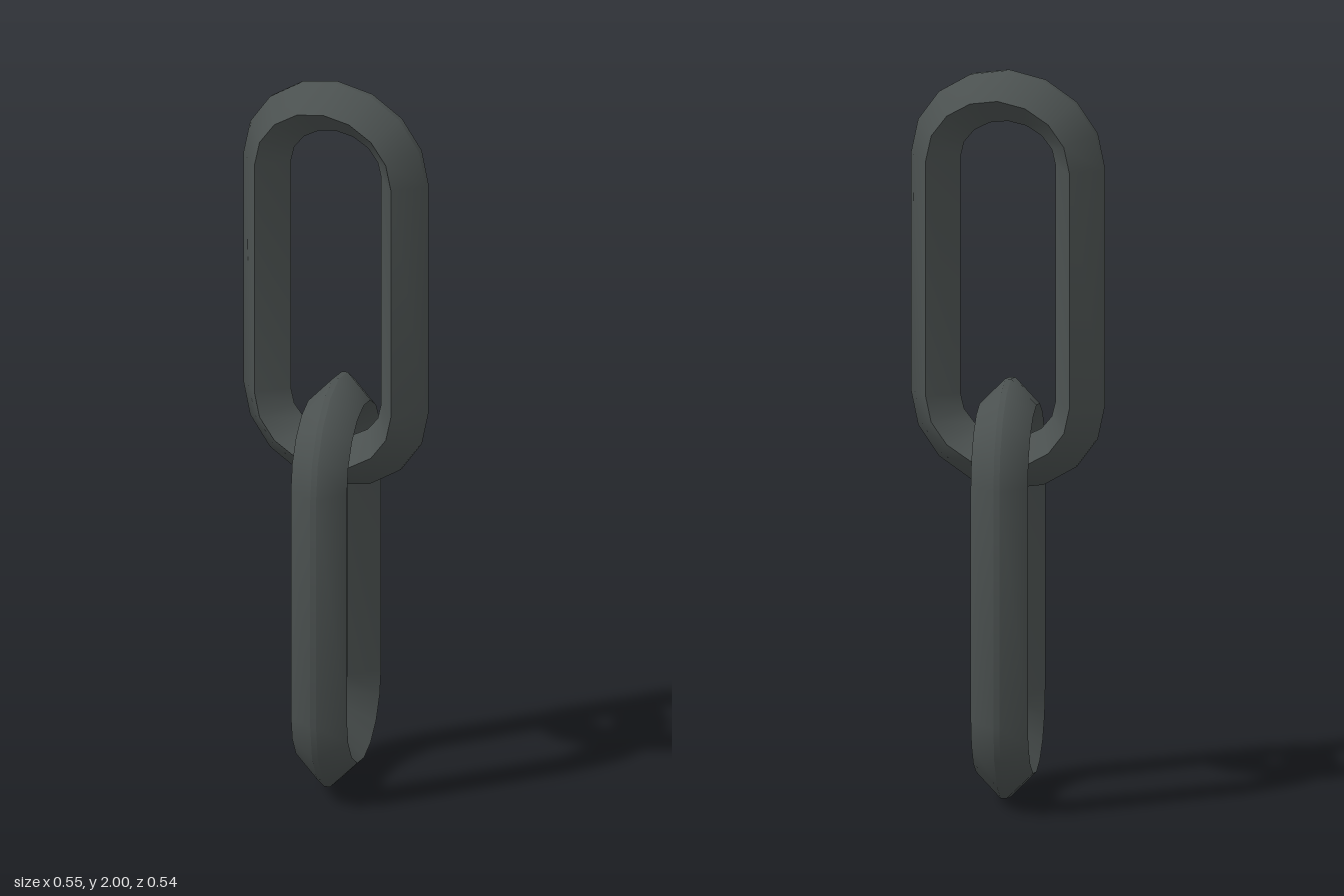
import * as THREE from 'three';
import { toCreasedNormals } from 'three/addons/utils/BufferGeometryUtils.js';

const STEPS = 8;        // segments per half-turn end
const STRAIGHT = 0.325; // half length of the straight sides

// Diamond cross-section with a small bevel on the outer ridge: [outward, sideways]
const SECTION = [[0.07, -0.008], [0.07, 0.008], [0, 0.077], [-0.07, 0], [0, -0.077]];

// Sweeps the section around a closed, long oval in the xy plane
function linkGeometry() {
  const pos = [], index = [];
  const n = SECTION.length;
  const rings = 2 * (STEPS + 1);
  for (let end = 0; end < 2; end++) {
    const cy = end === 0 ? STRAIGHT : -STRAIGHT;
    for (let i = 0; i <= STEPS; i++) {
      const a = Math.PI * (end + i / STEPS);
      for (const [out, side] of SECTION) {
        pos.push((0.207 + out) * Math.cos(a), cy + (0.18 + out) * Math.sin(a), side);
      }
    }
  }
  for (let i = 0; i < rings; i++) {
    const i2 = (i + 1) % rings;
    for (let j = 0; j < n; j++) {
      const j2 = (j + 1) % n;
      const a = i * n + j, b = i2 * n + j, c = i2 * n + j2, d = i * n + j2;
      index.push(a, b, c, a, c, d);
    }
  }
  const g = new THREE.BufferGeometry();
  g.setAttribute('position', new THREE.Float32BufferAttribute(pos, 3));
  g.setIndex(index);
  return toCreasedNormals(g, Math.PI / 3);
}

export function createModel() {
  const group = new THREE.Group();
  group.name = 'chain';
  const iron = new THREE.MeshStandardMaterial({ color: 0x4b5150 });
  iron.name = 'dark iron';
  const geometry = linkGeometry();

  // Upper link faces the front
  const upper = new THREE.Mesh(geometry, iron);
  upper.name = 'upperLink';
  upper.position.y = 1.425;
  group.add(upper);

  // Lower link hangs through it, turned nearly edge-on
  const lower = new THREE.Mesh(geometry, iron);
  lower.name = 'lowerLink';
  lower.position.y = 0.575;
  lower.rotation.y = THREE.MathUtils.degToRad(-75);
  group.add(lower);

  return group;
}
